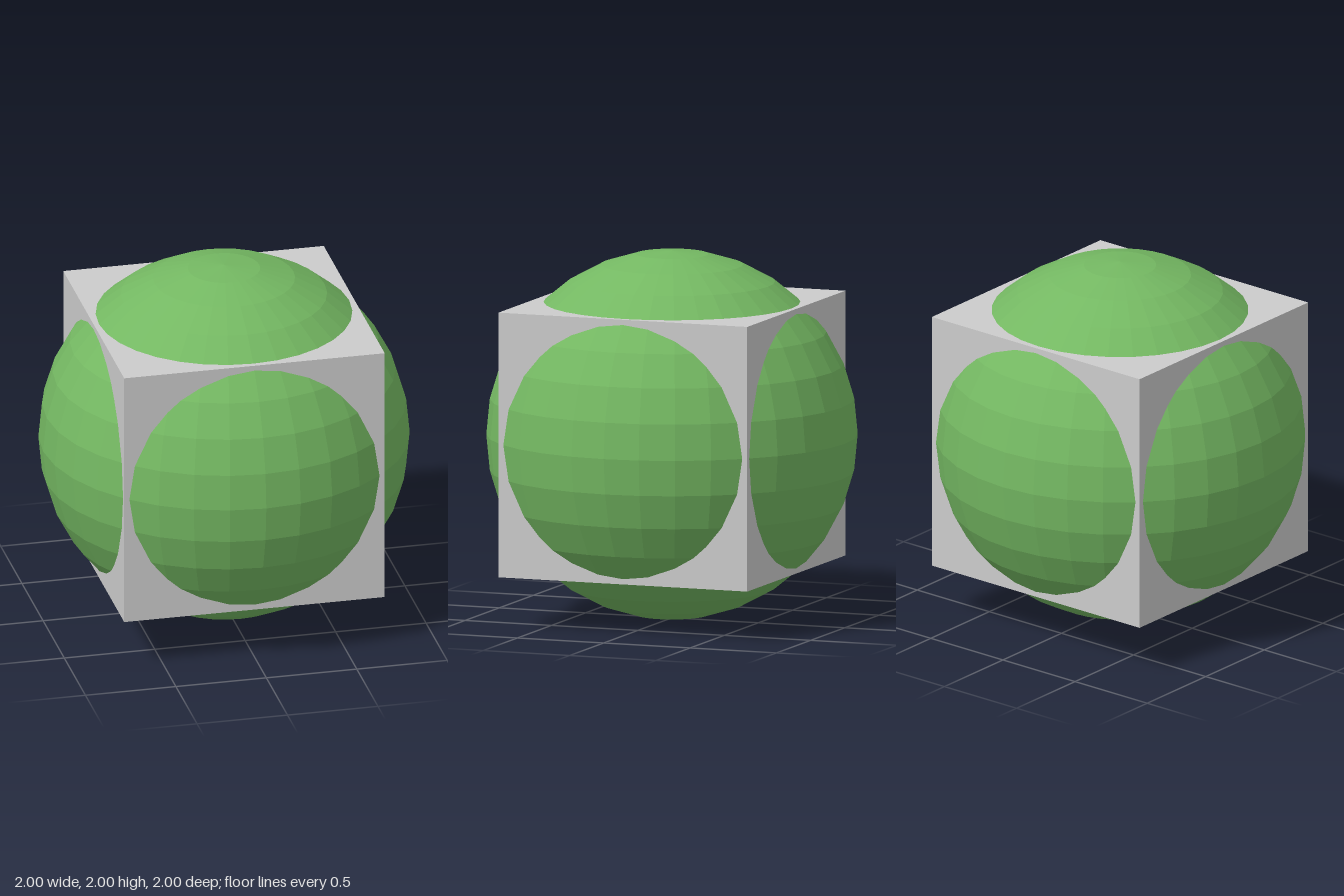
import * as THREE from 'three';

export function createModel() {
  const group = new THREE.Group();
  const addPart = (name, geometry, color) => {
    const material = new THREE.MeshStandardMaterial({ color, flatShading: true });
    const mesh = new THREE.Mesh(geometry, material);
    mesh.name = name;
    mesh.position.y = 1;
    group.add(mesh);
  };

  // Cube whose faces cut through the ball
  addPart('cube', new THREE.BoxGeometry(1.44, 1.44, 1.44), 0xcccccc);

  // Faceted ball bulging out of all six faces
  addPart('ball', new THREE.SphereGeometry(1, 32, 16), 0x74b862);

  return group;
}
